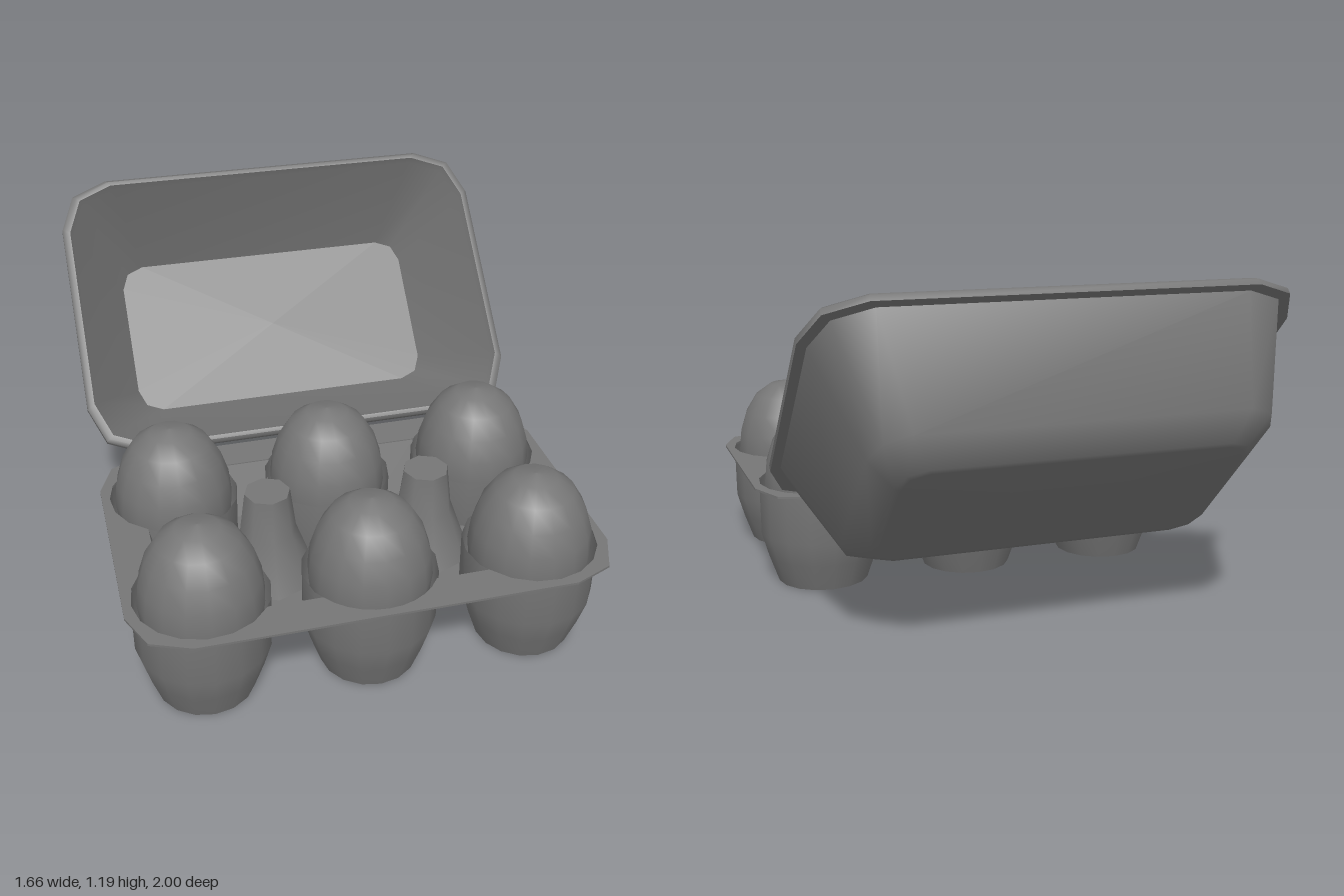
import * as THREE from 'three';
import { toCreasedNormals } from 'three/addons/utils/BufferGeometryUtils.js';

const CUP_R = 0.23, CUP_X = 0.57, CUP_Z = 0.285; // cup radius and spacing from tray centre
const TRAY_Z = 0.455, RIM_Y = 0.38, FLOOR_Y = 0.19;

const darkGrey = new THREE.MeshStandardMaterial({ color: 0x767676, side: THREE.DoubleSide });

function add(parent, name, geometry) {
  const mesh = new THREE.Mesh(geometry, darkGrey);
  mesh.name = name;
  parent.add(mesh);
  return mesh;
}

const lathe = (profile, sides) =>
  new THREE.LatheGeometry(profile.map(([r, y]) => new THREE.Vector2(r, y)), sides);

// Rectangle with rounded corners, two segments per corner
function roundedRect(hx, hz, r) {
  const pts = [];
  [[1, 1], [-1, 1], [-1, -1], [1, -1]].forEach(([sx, sz], q) => {
    for (let k = 0; k <= 2; k++) {
      const a = (q + k / 2) * Math.PI / 2;
      pts.push(new THREE.Vector2(sx * (hx - r) + r * Math.cos(a), sz * (hz - r) + r * Math.sin(a)));
    }
  });
  return pts;
}

// Six arcs around the cups, joined by the edges of a rectangle X by Z.
// outward: follow the cups' outer sides; otherwise their inner sides.
function cupArcs(X, Z, outward) {
  const dx = X - CUP_X, dz = Z - CUP_Z;
  const side = Math.acos(dx / CUP_R), edge = Math.asin(dz / CUP_R);
  const spans = [
    [CUP_X, -side, Math.PI - edge],
    [0, edge, Math.PI - edge],
    [-CUP_X, edge, Math.PI + side],
  ];
  const half = spans.map(([cx, a0, a1]) => {
    const end = outward ? a1 : a1 - Math.PI * 2;
    return Array.from({ length: 11 }, (_, k) => {
      const a = a0 + (end - a0) * k / 10;
      return new THREE.Vector2(cx + CUP_R * Math.cos(a), CUP_Z + CUP_R * Math.sin(a));
    });
  });
  return [...half, ...half.map(arc => arc.map(p => p.clone().negate()))];
}

// Skin over rounded-rectangle rings [halfX, halfZ, cornerRadius, y]
function loft(rings) {
  const pos = [], index = [], n = 12;
  for (const [hx, hz, r, y] of rings)
    for (const p of roundedRect(hx, hz, r)) pos.push(p.x, y, p.y);
  for (let i = 0; i < rings.length - 1; i++)
    for (let j = 0; j < n; j++) {
      const a = i * n + j, b = i * n + (j + 1) % n;
      index.push(a, a + n, b, b, a + n, b + n);
    }
  const g = new THREE.BufferGeometry();
  g.setAttribute('position', new THREE.Float32BufferAttribute(pos, 3));
  g.setIndex(index);
  return toCreasedNormals(g, 0.85);
}

function createTray() {
  const tray = new THREE.Group();
  tray.name = 'tray';
  tray.position.z = TRAY_Z;

  // Flat rim around all six cups
  const topArcs = cupArcs(0.69, 0.41, true);
  const rimShape = new THREE.Shape(roundedRect(0.828, 0.545, 0.19));
  rimShape.holes.push(new THREE.Path(topArcs.flat()));
  const rim = new THREE.ExtrudeGeometry(rimShape, { depth: 0.008, bevelEnabled: false });
  add(tray, 'trayRim', rim.rotateX(Math.PI / 2)).position.y = RIM_Y + 0.004;

  // Sunken floor between the cups
  const floorArcs = cupArcs(0.64, 0.34, false);
  const floor = new THREE.ShapeGeometry(new THREE.Shape(floorArcs.flat())).rotateX(Math.PI / 2);
  add(tray, 'trayFloor', floor).position.y = FLOOR_Y;

  // Sloping walls from rim to floor in the gaps between cups
  const pos = [];
  for (let i = 0; i < 6; i++) {
    const next = (i + 1) % 6;
    const a = topArcs[i][10], b = topArcs[next][0];
    const c = floorArcs[i][10], d = floorArcs[next][0];
    const A = [a.x, RIM_Y, a.y], B = [b.x, RIM_Y, b.y];
    const C = [c.x, FLOOR_Y, c.y], D = [d.x, FLOOR_Y, d.y];
    pos.push(...A, ...B, ...C, ...B, ...D, ...C);
  }
  const walls = new THREE.BufferGeometry();
  walls.setAttribute('position', new THREE.Float32BufferAttribute(pos, 3));
  walls.computeVertexNormals();
  add(tray, 'gapWalls', walls);

  // Cups and eggs
  const cup = toCreasedNormals(lathe(
    [[0, 0], [0.168, 0], [0.203, 0.1], [0.229, FLOOR_Y], [0.231, RIM_Y]], 16), 0.7);
  const egg = lathe([[0, 0.07], [0.09, 0.09], [0.16, 0.16], [0.2, 0.27], [0.211, 0.37],
    [0.203, 0.45], [0.178, 0.53], [0.135, 0.6], [0.075, 0.643], [0, 0.657]], 16);
  for (const x of [-CUP_X, 0, CUP_X])
    for (const z of [-CUP_Z, CUP_Z]) {
      add(tray, 'cup', cup).position.set(x, 0, z);
      add(tray, 'egg', egg).position.set(x, 0, z);
    }

  // Flared posts between the cups
  const post = toCreasedNormals(
    lathe([[0.168, FLOOR_Y], [0.1, 0.38], [0.08, 0.535], [0, 0.535]], 8), 0.9);
  for (const s of [-1, 1]) add(tray, 'post', post).position.x = s * CUP_X / 2;
  return tray;
}

// Open lid, tipped back: outer skin up to the lip, then down the inner skin
function createLid() {
  const lid = new THREE.Group();
  lid.name = 'lid';
  lid.position.set(0, 0.809, -0.456);
  lid.rotation.x = Math.PI / 4;
  add(lid, 'lidShell', loft([
    [0, 0, 0, -0.454],
    [0.57, 0.265, 0.08, -0.454],
    [0.59, 0.285, 0.09, -0.452],
    [0.67, 0.378, 0.12, -0.387],
    [0.795, 0.52, 0.18, -0.035],
    [0.828, 0.55, 0.19, -0.035],
    [0.828, 0.55, 0.19, -0.012],
    [0.815, 0.54, 0.185, 0],
    [0.8, 0.525, 0.18, 0],
    [0.79, 0.515, 0.18, -0.025],
    [0.6, 0.31, 0.09, -0.38],
    [0, 0, 0, -0.38],
  ]));
  return lid;
}

export function createModel() {
  const model = new THREE.Group();
  model.name = 'eggCarton';
  model.add(createTray(), createLid());
  return model;
}
